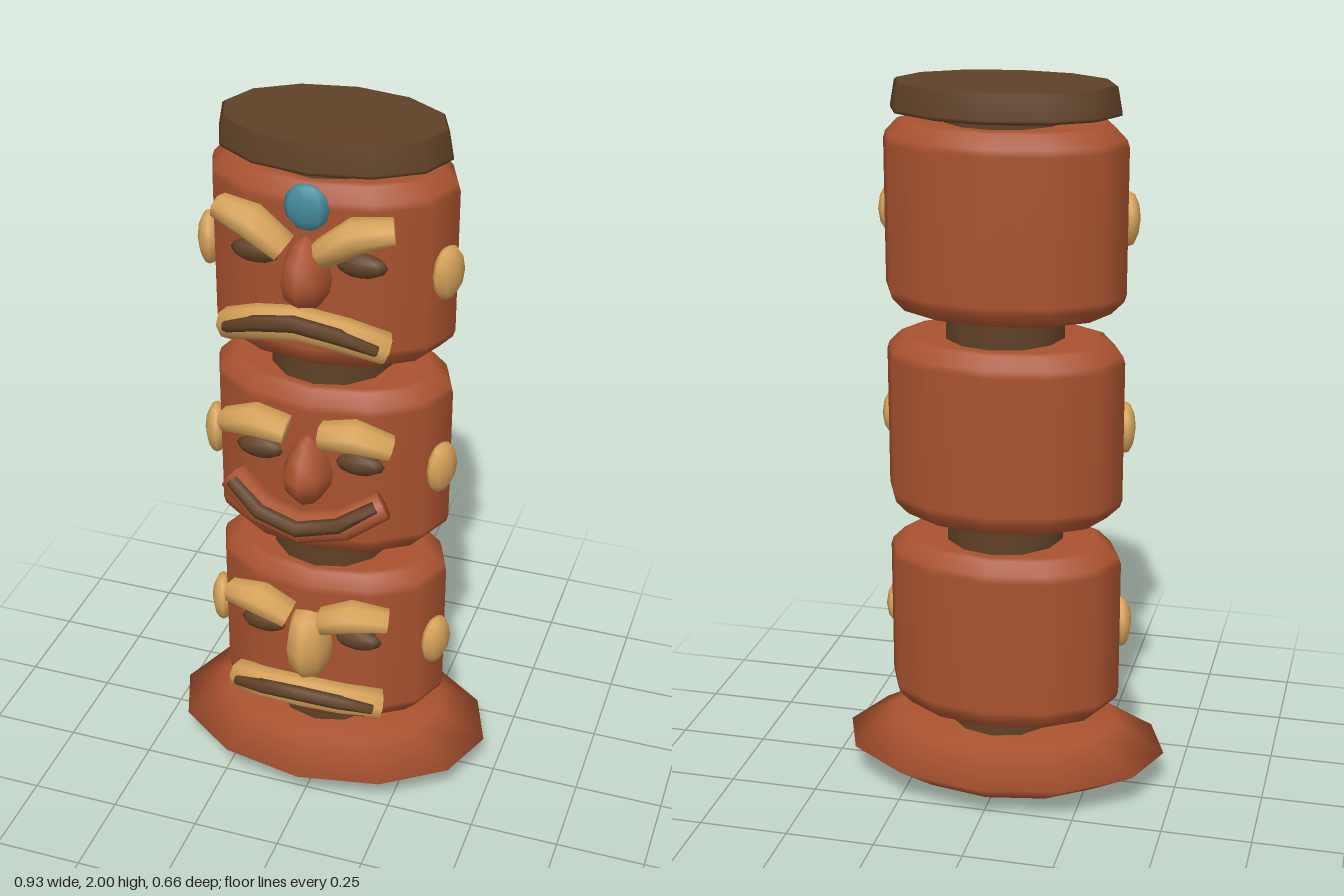
import * as THREE from 'three';

const paint = (name, color) => {
  const m = new THREE.MeshStandardMaterial({ color });
  m.name = name;
  return m;
};

export function createModel() {
  const red = paint('red wood', 0xa9522f);
  const brown = paint('dark brown wood', 0x5f4126);
  const tan = paint('tan wood', 0xd6a259);
  const teal = paint('teal stone', 0x448b9b);
  const model = new THREE.Group();
  model.name = 'carvedPole';

  const add = (parent, name, geometry, material, x = 0, y = 0, z = 0) => {
    const mesh = new THREE.Mesh(geometry, material);
    mesh.name = name;
    mesh.position.set(x, y, z);
    parent.add(mesh);
    return mesh;
  };
  const blob = (rx, ry, rz, sides = 8, rows = 6) =>
    new THREE.SphereGeometry(1, sides, rows).scale(rx, ry, rz);
  // Turned shape from [radius, height] pairs, flattened in z
  const turned = (profile, sides, depth) =>
    new THREE.LatheGeometry(profile.map(p => new THREE.Vector2(...p)), sides).scale(1, 1, depth);

  // Closed bar swept along stations [x, y, z, halfHeight, halfDepth], x ascending
  const bar = (path, sides = 8) => {
    const pos = [], index = [];
    const n = path.length;
    path.forEach((p, i) => {
      const a = path[Math.max(i - 1, 0)], b = path[Math.min(i + 1, n - 1)];
      const t = new THREE.Vector3(b[0] - a[0], b[1] - a[1], b[2] - a[2]).normalize();
      const up = new THREE.Vector3(-t.y, t.x, 0).normalize();
      const out = new THREE.Vector3().crossVectors(t, up);
      for (let j = 0; j < sides; j++) {
        const w = ((j + 0.5) / sides) * Math.PI * 2;
        const v = new THREE.Vector3(p[0], p[1], p[2])
          .addScaledVector(up, Math.cos(w) * p[3]).addScaledVector(out, Math.sin(w) * p[4]);
        pos.push(v.x, v.y, v.z);
      }
    });
    const s = n * sides;
    pos.push(...path[0].slice(0, 3), ...path[n - 1].slice(0, 3));
    for (let j = 0; j < sides; j++) {
      const k = (j + 1) % sides;
      for (let i = 0; i < n - 1; i++) {
        const r = i * sides, q = r + sides;
        index.push(r + j, r + k, q + k, r + j, q + k, q + j);
      }
      index.push(s, k, j, s + 1, s - sides + j, s - sides + k);
    }
    const g = new THREE.BufferGeometry();
    g.setAttribute('position', new THREE.Float32BufferAttribute(pos, 3));
    g.setIndex(index);
    g.computeVertexNormals();
    return g;
  };
  const mirrored = path => path.map(([x, ...rest]) => [-x, ...rest]).reverse();

  // Base, core and cap
  add(model, 'base', blob(0.465, 0.106, 0.33, 12, 4), red, 0, 0.106, 0);
  add(model, 'core', new THREE.CylinderGeometry(0.165, 0.165, 1.83, 12), brown, 0, 1.035, 0);
  add(model, 'cap', turned([[0, 1.918], [0.29, 1.918], [0.31, 1.922], [0.31, 1.93],
    [0.298, 1.995], [0.29, 2], [0, 2]], 12, 0.66), brown, 0, 0, -0.005);

  const drum = [[0, -0.255], [0.27, -0.255], [0.29, -0.25], [0.325, -0.215], [0.331, -0.195],
    [0.331, 0.195], [0.325, 0.215], [0.29, 0.25], [0.27, 0.255], [0, 0.255]];

  // Face settings: heights are relative to the centre of each head
  const faces = [
    { name: 'lowerHead', y: 0.485, lips: tan, noseColor: tan, lip: [-0.104, -0.116, -0.14],
      line: [-0.085, -0.098, -0.128], brow: [0.125, 0.163, 0.15],
      nose: [[0, -0.08], [0.04, -0.07], [0.06, -0.02], [0.065, 0.03], [0.058, 0.085], [0.042, 0.125], [0, 0.137]] },
    { name: 'middleHead', y: 1.065, lips: red, noseColor: red, lip: [-0.122, -0.1, -0.045],
      line: [-0.108, -0.083, -0.03], brow: [0.147, 0.163, 0.13],
      nose: [[0, -0.082], [0.035, -0.065], [0.062, -0.02], [0.068, 0.02], [0.05, 0.07], [0.025, 0.11], [0, 0.13]] },
    { name: 'upperHead', y: 1.645, lips: tan, noseColor: red, lip: [-0.09, -0.112, -0.155],
      line: [-0.073, -0.096, -0.14], brow: [0.092, 0.155, 0.168],
      nose: [[0, -0.075], [0.035, -0.066], [0.058, -0.03], [0.066, 0.01], [0.055, 0.06], [0.03, 0.105], [0, 0.125]] },
  ];

  for (const f of faces) {
    const head = new THREE.Group();
    head.name = f.name;
    head.position.y = f.y;
    model.add(head);
    add(head, 'drum', turned(drum, 12, 0.665), red, 0, 0, -0.005);
    add(head, 'nose', turned(f.nose, 8, 1.5), f.noseColor, 0, 0, 0.205);

    // Curved lips with the dark mouth line set into their front
    const [l0, l1, l2] = f.lip;
    const lip = [[0.115, l1, 0.258, 0.046, 0.045], [0.21, l2, 0.215, 0.042, 0.045]];
    add(head, 'lips', bar([...mirrored(lip), [0, l0, 0.275, 0.047, 0.045], ...lip]), f.lips);
    const [m0, m1, m2] = f.line;
    const line = [[0.11, m1, 0.298, 0.021, 0.02], [0.2, m2, 0.258, 0.016, 0.02]];
    add(head, 'mouthLine', bar([...mirrored(line), [0, m0, 0.312, 0.022, 0.02], ...line], 6), brown);

    // Paired features
    const [b0, b1, b2] = f.brow;
    const brow = [[0.05, b0, 0.235, 0.038, 0.048], [0.135, b1, 0.238, 0.045, 0.055],
      [0.227, b2, 0.21, 0.034, 0.04]];
    add(head, 'leftBrow', bar(brow), tan);
    add(head, 'rightBrow', bar(mirrored(brow)), tan);
    for (const side of [1, -1]) {
      const label = side > 0 ? 'left' : 'right';
      add(head, label + 'Eye', blob(0.07, 0.033, 0.027), brown, side * 0.137, 0.055, 0.195);
      const ear = add(head, label + 'Ear', blob(0.032, 0.074, 0.06), tan, side * 0.322, -0.003, 0.052);
      ear.rotation.y = -side * 0.3;
    }
    // Forehead stone on the top head
    if (f.name === 'upperHead') add(head, 'foreheadStone', blob(0.06, 0.063, 0.027), teal, 0, 0.197, 0.207);
  }
  return model;
}
